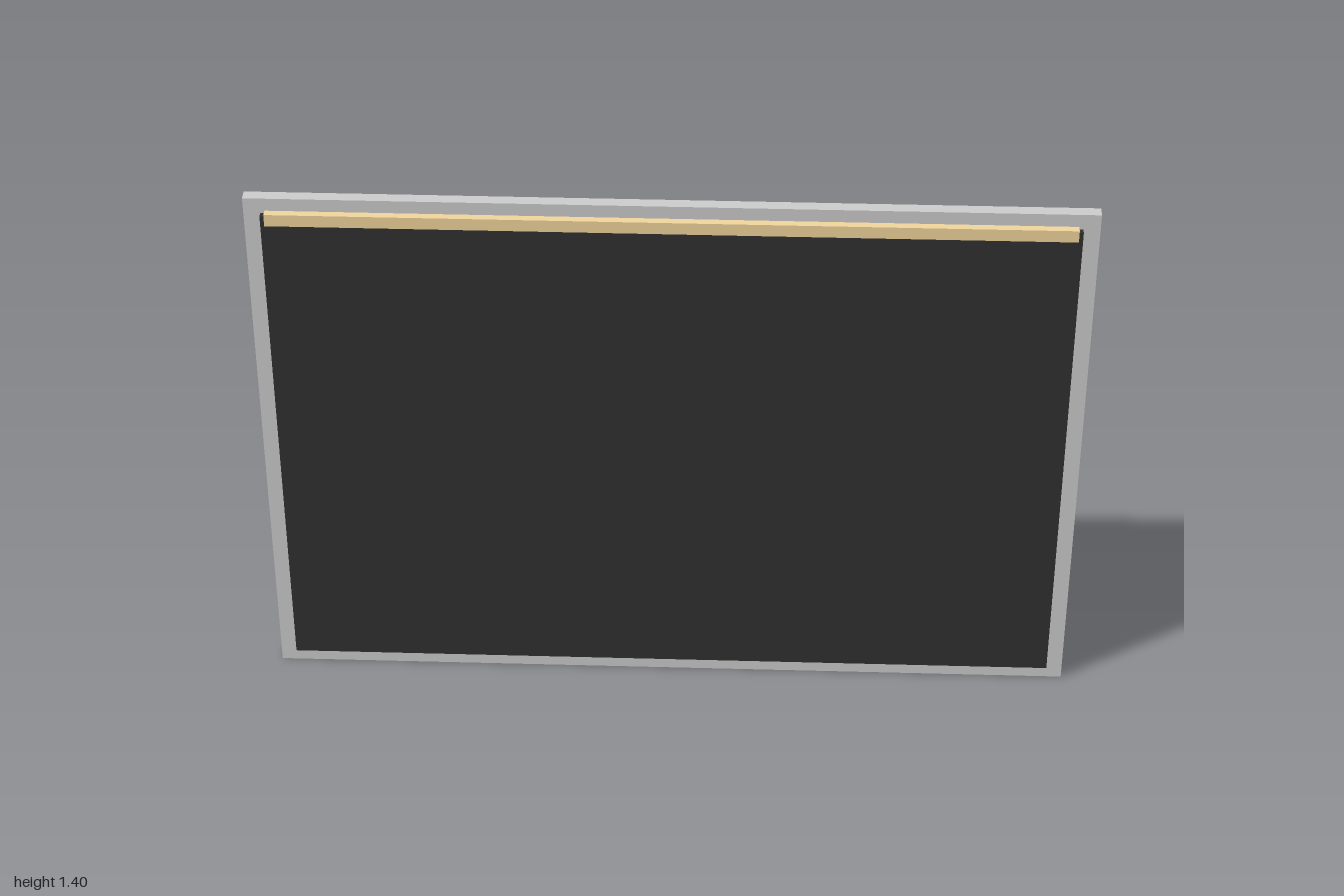
import * as THREE from 'three';

// Box given by its extents on each axis
function slab(name, [x0, x1], [y0, y1], [z0, z1], color) {
  const mesh = new THREE.Mesh(
    new THREE.BoxGeometry(x1 - x0, y1 - y0, z1 - z0),
    new THREE.MeshStandardMaterial({ color })
  );
  mesh.name = name;
  mesh.position.set((x0 + x1) / 2, (y0 + y1) / 2, (z0 + z1) / 2);
  return mesh;
}

export function createModel() {
  const group = new THREE.Group();
  group.name = 'wallBoard';
  group.add(
    // Grey backing board, its rim showing around the panel
    slab('backingBoard', [-1, 1], [0, 1.4], [-0.0245, 0.0055], 0xcccccc),
    // Dark panel mounted on the front
    slab('darkPanel', [-0.96, 0.96], [0.04, 1.36], [0.0055, 0.0205], 0x303030),
    // Pale wooden strip along the top edge of the panel
    slab('topStrip', [-0.95, 0.95], [1.336, 1.367], [0.0055, 0.0245], 0xf0d49b)
  );
  return group;
}
